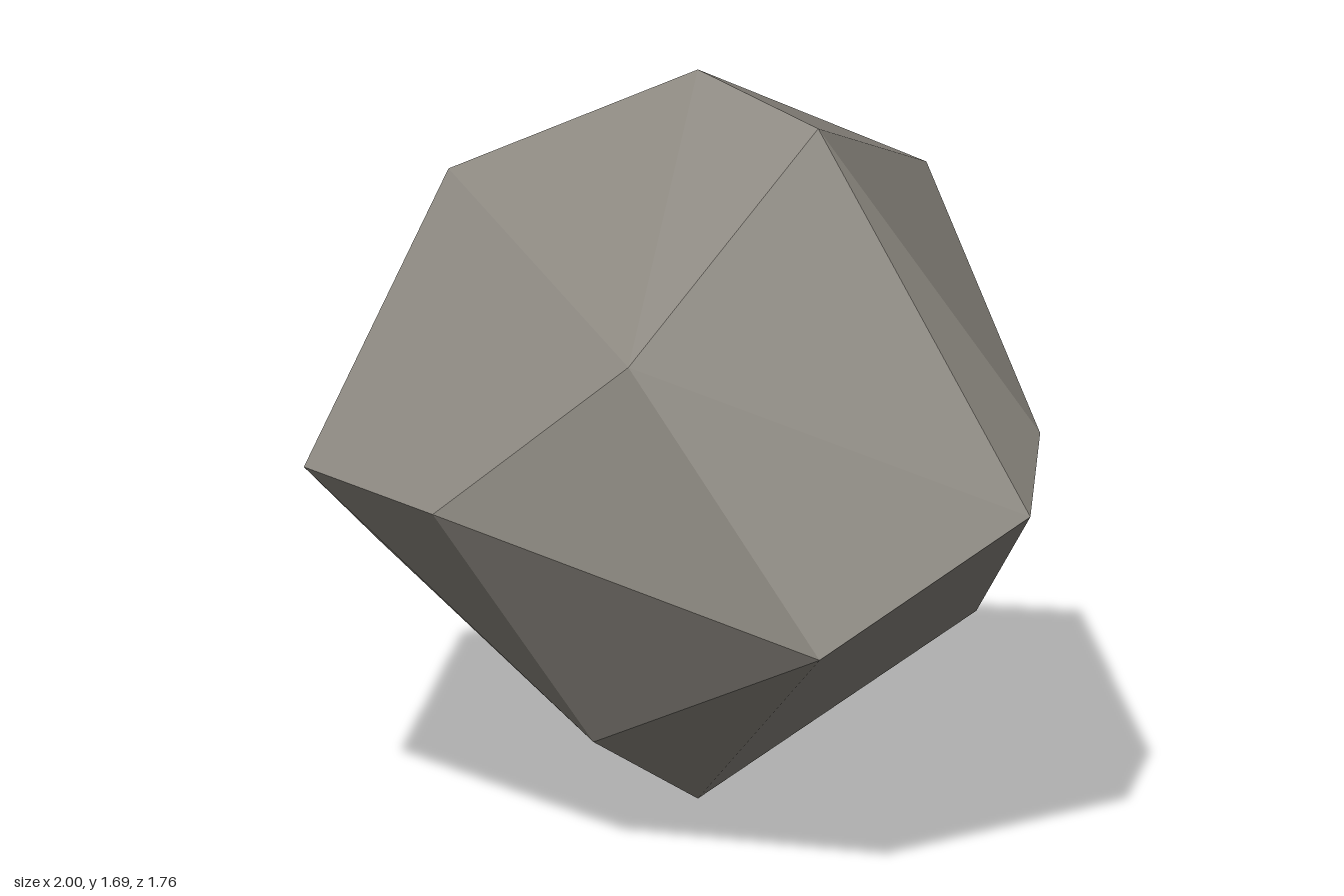
import * as THREE from 'three';
import { ConvexGeometry } from 'three/addons/geometries/ConvexGeometry.js';

export function createModel() {
  const group = new THREE.Group();
  group.name = 'rock';

  const stone = new THREE.MeshStandardMaterial({ color: 0x8c8880 });
  stone.name = 'stone grey';

  // Corners of the faceted boulder, grouped by height
  const corners = [
    // crown
    [0, 1.69, 0], [0.38, 1.63, 0.02], [-0.46, 1.44, 0.32], [0.08, 1.35, -0.67],
    // shoulders
    [0.38, 1.21, 0.65], [-0.88, 1.11, -0.36], [0.83, 0.96, -0.22],
    // waist
    [1, 0.845, 0], [-1, 0.845, 0], [0, 0.845, 0.88], [0, 0.845, -0.88],
    [-0.46, 0.85, 0.8], [-0.375, 0.725, -0.705],
    // underside
    [0.81, 0.58, 0.49], [-0.76, 0.5, 0.22], [0.33, 0.38, -0.56],
    [0.13, 0.26, 0.49], [-0.29, 0.06, -0.23], [0, 0, 0],
  ].map((p) => new THREE.Vector3(...p));

  // Flat facets stretched over the corners
  const boulder = new THREE.Mesh(new ConvexGeometry(corners), stone);
  boulder.name = 'boulder';
  group.add(boulder);
  return group;
}
